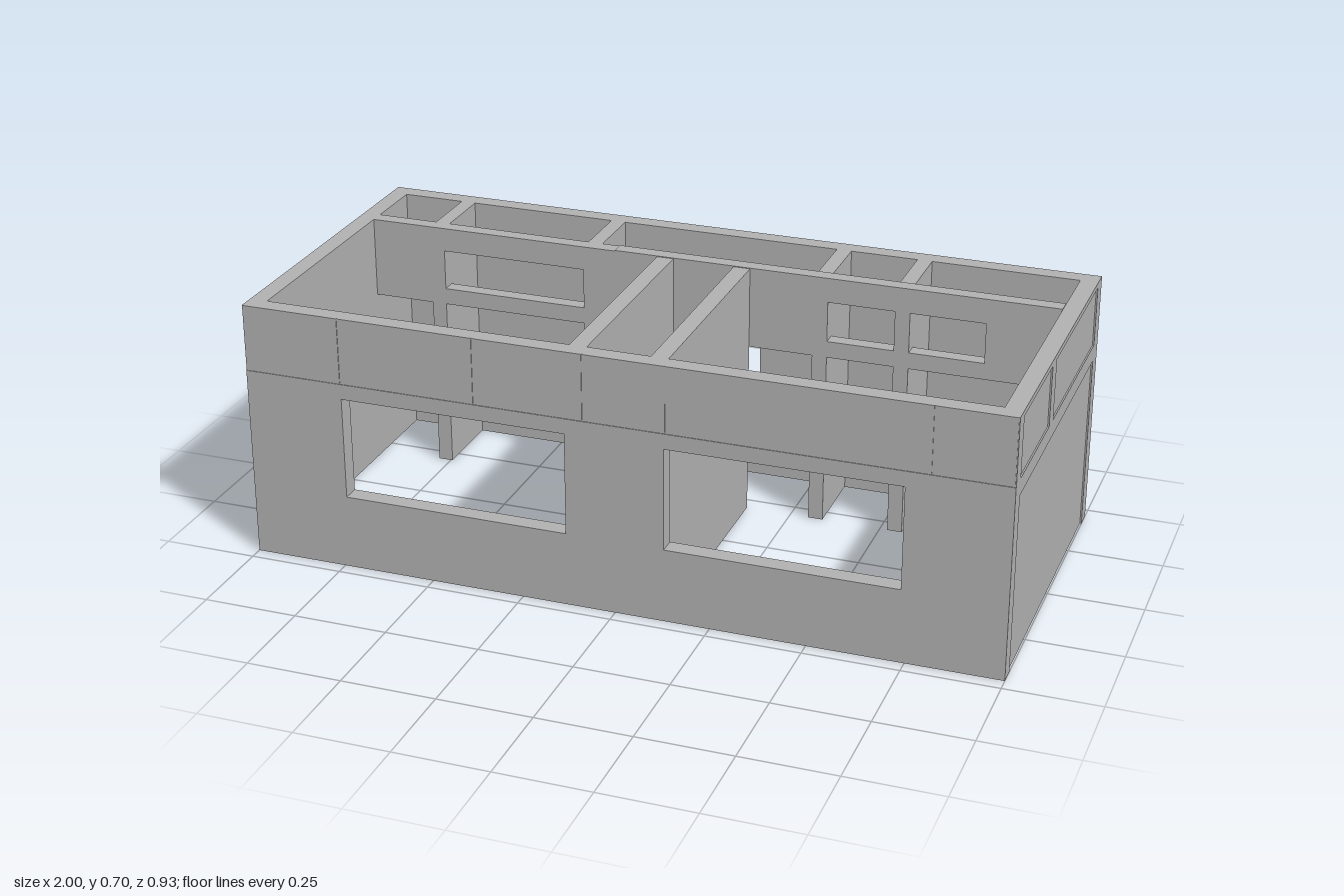
import * as THREE from 'three';

const H = 0.695, X = 1, Z = 0.463, T = 0.047;
const BEAM_LOW = 0.475, BEAM_TOP = 0.52;

export function createModel() {
  const model = new THREE.Group();
  model.name = 'houseShell';
  const concrete = new THREE.MeshStandardMaterial({ color: 0xb0b0b0 });
  concrete.name = 'concrete grey';

  const add = (name, geometry) => {
    const mesh = new THREE.Mesh(geometry, concrete);
    mesh.name = name;
    model.add(mesh);
    return mesh;
  };

  // Box given by its limits on each axis
  const block = (name, x0, x1, y0, y1, z0, z1) =>
    add(name, new THREE.BoxGeometry(x1 - x0, y1 - y0, z1 - z0))
      .position.set((x0 + x1) / 2, (y0 + y1) / 2, (z0 + z1) / 2);

  // Upright wall along x with rectangular openings [x0, x1, y0, y1]
  const wall = (name, x0, x1, y0, y1, z0, z1, openings) => {
    const rect = (path, a, b, c, d) =>
      path.moveTo(a, c).lineTo(b, c).lineTo(b, d).lineTo(a, d).closePath();
    const shape = new THREE.Shape();
    rect(shape, x0, x1, y0, y1);
    for (const o of openings) {
      const hole = new THREE.Path();
      rect(hole, ...o);
      shape.holes.push(hole);
    }
    const geometry = new THREE.ExtrudeGeometry(shape, { depth: z1 - z0, bevelEnabled: false });
    add(name, geometry).position.z = z0;
  };

  // Long outer walls with windows
  wall('frontWall', -X, X, 0, H, Z - T, Z - 0.002,
    [[-0.735, -0.13, 0.2, BEAM_LOW], [0.13, 0.735, 0.2, BEAM_LOW]]);
  wall('backWall', -X, X, 0, H, -Z + 0.002, -Z + T, [[-0.3, 0.09, 0.28, BEAM_LOW]]);

  // Slightly raised cladding panels on the front and back
  const upperEdges = [-1, -0.735, -0.37, -0.08, 0.135, 0.8, 1];
  for (let i = 0; i < upperEdges.length - 1; i++) {
    block('frontUpperPanel', upperEdges[i] + 0.002, upperEdges[i + 1] - 0.002,
      BEAM_TOP, H, Z - 0.002, Z);
  }
  wall('frontLowerPanel', -X, X, 0, BEAM_TOP - 0.004, Z - 0.002, Z,
    [[-0.735, -0.13, 0.2, BEAM_LOW], [0.13, 0.735, 0.2, BEAM_LOW]]);
  for (const [a, b] of [[-1, 0.298], [0.302, 1]]) {
    block('backUpperPanel', a, b, BEAM_TOP, H, -Z, -Z + 0.002);
    wall('backLowerPanel', a, b, 0, BEAM_TOP - 0.004, -Z, -Z + 0.002,
      a < 0 ? [[-0.3, 0.09, 0.28, BEAM_LOW]] : []);
  }

  // Short outer walls: recessed infill inside a shallow frame of posts and beams
  for (const side of [-1, 1]) {
    const sideBlock = (name, a, b, y0, y1, z0, z1) =>
      block(name, Math.min(side * a, side * b), Math.max(side * a, side * b), y0, y1, z0, z1);
    sideBlock('endWall', X - T, X - 0.004, 0, H, -Z + T, Z - T);
    sideBlock('endBeam', X - 0.004, X, BEAM_LOW, BEAM_TOP, -Z + T, Z - T);
    sideBlock('endTopBeam', X - 0.004, X, 0.68, H, -Z + T, Z - T);
    sideBlock('endUpperPost', X - 0.004, X, BEAM_TOP, 0.68, 0.07, 0.115);
  }

  // Corridor lintel with high openings, carried above the free wall ends
  wall('corridorLintel', -X + T, X - T, BEAM_LOW, H, -0.245, -0.205, [
    [-0.745, -0.34, BEAM_TOP, 0.63],
    [0.34, 0.52, BEAM_TOP, 0.63],
    [0.56, 0.76, BEAM_TOP, 0.63],
  ]);

  // Partitions of the rear rooms: full height to the lintel, free end below it
  for (const x of [-0.785, -0.34, 0.3, 0.52]) {
    block('rearPartition', x, x + 0.04, 0, H, -Z + T, -0.245);
    block('rearPartitionEnd', x, x + 0.04, 0, BEAM_LOW, -0.245, -0.205);
  }

  // Two partitions between the front rooms
  for (const x of [-0.13, 0.082]) {
    block('frontPartition', x, x + 0.045, 0, H, -0.205, Z - T);
  }

  // Thin cap on the inner walls
  block('lintelCap', -0.25, X - T, H, H + 0.002, -0.245, -0.205);

  return model;
}
